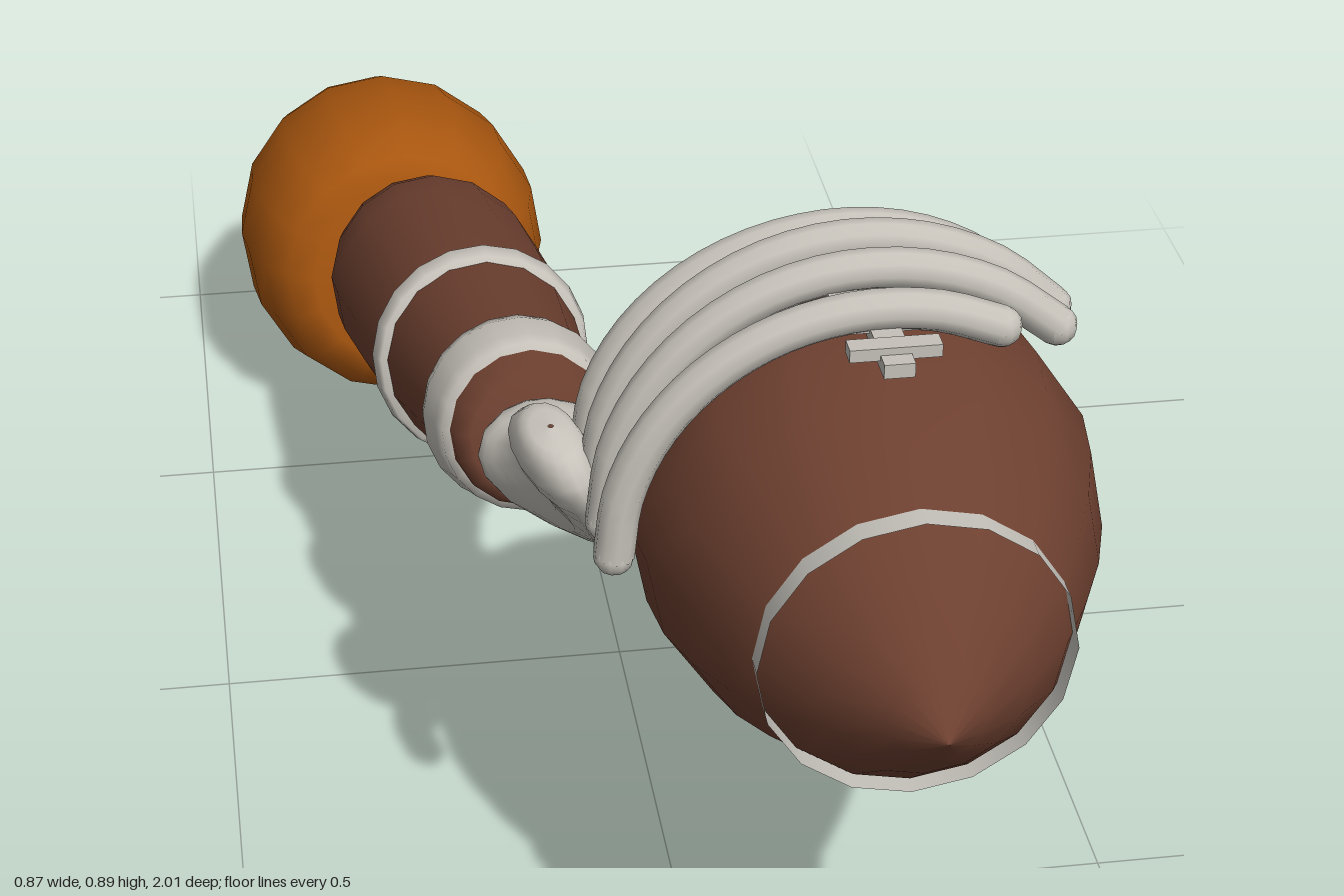
import * as THREE from 'three';

const V = (x, y, z) => new THREE.Vector3(x, y, z);
const UP = V(0, 1, 0);

export function createModel() {
  const group = new THREE.Group();
  const mat = (name, color) => {
    const m = new THREE.MeshStandardMaterial({ color });
    m.name = name;
    return m;
  };
  const brown = mat('leatherBrown', 0x6d4030);
  const orange = mat('sleeveOrange', 0xa8560f);
  const white = mat('gloveWhite', 0xc6c2ba);
  const tape = mat('bandWhite', 0xc5c2bb);
  tape.side = THREE.DoubleSide;

  const add = (name, geometry, material, parent = group) => {
    const mesh = new THREE.Mesh(geometry, material);
    mesh.name = name;
    parent.add(mesh);
    return mesh;
  };

  // Turned solid whose profile [radius, distance] runs along dir from origin
  const turned = (name, profile, origin, dir, material, sides = 16) => {
    const pts = profile.map(([r, d]) => new THREE.Vector2(r, d));
    const mesh = add(name, new THREE.LatheGeometry(pts, sides), material);
    mesh.position.copy(origin);
    mesh.quaternion.setFromUnitVectors(UP, dir.clone().normalize());
    return mesh;
  };

  // Ball, pointed at both ends along z
  const ball = V(0.18, 0.605, 0.582);
  const half = [[0, 0.418], [0.05, 0.376], [0.105, 0.325], [0.155, 0.268],
    [0.19, 0.205], [0.222, 0.135], [0.243, 0.068]];
  const ballProfile = [
    ...half.map(([r, d]) => [r, -d]),
    [0.252, 0],
    ...half.slice().reverse(),
  ];
  turned('ball', ballProfile, ball, V(0, 0, 1), brown);

  // Painted rings near the ball tips
  for (const side of [1, -1]) {
    const ring = add('ballStripe', new THREE.CylinderGeometry(0.164, 0.164, 0.03, 16, 1, true), tape);
    ring.rotation.x = Math.PI / 2;
    ring.position.set(ball.x, ball.y, ball.z + side * 0.264);
  }

  // Laces on top of the ball
  const laces = new THREE.Group();
  laces.name = 'laces';
  group.add(laces);
  add('laceSpine', new THREE.BoxGeometry(0.032, 0.016, 0.27), white, laces)
    .position.set(ball.x, 0.858, 0.585);
  for (let i = 0; i < 5; i++) {
    add('laceBar', new THREE.BoxGeometry(0.095, 0.014, 0.022), white, laces)
      .position.set(ball.x, 0.867, 0.47 + i * 0.055);
  }

  // Round-ended tube through points
  const digit = (name, points, r) => {
    const curve = new THREE.CatmullRomCurve3(points);
    const part = new THREE.Group();
    part.name = name;
    group.add(part);
    add(name + 'Tube', new THREE.TubeGeometry(curve, 24, r, 10), white, part);
    for (const p of [points[0], points[points.length - 1]]) {
      add(name + 'End', new THREE.SphereGeometry(r, 10, 8), white, part).position.copy(p);
    }
  };

  // Four fingers arching over the ball: z, arc radius, end angle
  const fingers = [[0.43, 0.258, 41], [0.5, 0.283, 41], [0.567, 0.285, 45], [0.632, 0.274, 63]];
  for (const [z, r, end] of fingers) {
    const pts = [];
    for (let i = 0; i <= 8; i++) {
      const a = THREE.MathUtils.degToRad(THREE.MathUtils.lerp(180, end, i / 8));
      // the near side stays level with the other knuckles
      const rx = Math.cos(a) < 0 ? 0.275 : r;
      pts.push(V(ball.x + rx * Math.cos(a), ball.y + r * Math.sin(a), z));
    }
    digit('finger', pts, 0.022);
  }

  // Thumb curling under the ball
  digit('thumb', [V(-0.07, 0.475, 0.28), V(-0.01, 0.425, 0.345),
    V(0.08, 0.365, 0.41), V(0.18, 0.338, 0.452)], 0.022);

  // Palm: ellipses [centre, half axis u, half axis v] twisting up to the knuckles
  const sections = [
    [V(-0.11, 0.49, 0.198), V(0.003, 0, 0), V(0, 0.003, 0)],
    [V(-0.11, 0.485, 0.21), V(0.07, -0.01, 0), V(0, 0.05, -0.01)],
    [V(-0.107, 0.478, 0.245), V(0.092, -0.015, 0), V(0, 0.064, -0.015)],
    [V(-0.1, 0.483, 0.295), V(0.076, -0.02, 0.01), V(-0.01, 0.062, -0.025)],
    [V(-0.107, 0.525, 0.36), V(0.046, -0.015, 0.02), V(-0.02, 0.055, -0.045)],
    [V(-0.125, 0.58, 0.425), V(0.042, -0.01, 0.025), V(-0.02, 0.04, -0.06)],
    [V(-0.138, 0.63, 0.47), V(0.044, 0, 0.02), V(-0.01, 0.02, -0.068)],
    [V(-0.142, 0.665, 0.48), V(0.03, 0, 0.012), V(0, 0.01, -0.045)],
    [V(-0.142, 0.673, 0.48), V(0.003, 0, 0), V(0, 0, -0.003)],
  ];
  const [cLine, uLine, vLine] = [0, 1, 2].map(
    (k) => new THREE.CatmullRomCurve3(sections.map((s) => s[k])));
  const rows = 24, cols = 16, pos = [], idx = [];
  for (let i = 0; i <= rows; i++) {
    const c = cLine.getPoint(i / rows), u = uLine.getPoint(i / rows), v = vLine.getPoint(i / rows);
    for (let j = 0; j < cols; j++) {
      const a = (j / cols) * Math.PI * 2;
      const p = c.clone().addScaledVector(u, Math.cos(a)).addScaledVector(v, Math.sin(a));
      pos.push(p.x, p.y, p.z);
      if (i === rows) continue;
      const a0 = i * cols + j, a1 = i * cols + (j + 1) % cols;
      idx.push(a0, a1, a1 + cols, a0, a1 + cols, a0 + cols);
    }
  }
  const palm = new THREE.BufferGeometry();
  palm.setAttribute('position', new THREE.Float32BufferAttribute(pos, 3));
  palm.setIndex(idx);
  palm.computeVertexNormals();
  add('palm', palm, white);

  // Arm from the elbow end up to the wrist
  const elbow = V(-0.192, 0.292, -0.575);
  const wrist = V(-0.127, 0.478, 0.187);
  const armDir = wrist.clone().sub(elbow);
  const len = armDir.length();
  turned('forearm', [[0, -0.02], [0.095, -0.015], [0.125, 0.015], [0.138, 0.07], [0.14, 0.14],
    [0.135, 0.3], [0.125, 0.45], [0.108, 0.6], [0.098, len - 0.06], [0.094, len - 0.02],
    [0.075, len], [0, len + 0.004]], elbow, armDir, brown);

  // Raised bands around the wrist and the middle of the arm
  const band = (name, from, to, r0, r1) => turned(name, [
    [r0 - 0.02, from], [r0 - 0.004, from + 0.004], [r0, from + (to - from) * 0.3],
    [r1, to - (to - from) * 0.3], [r1 - 0.004, to - 0.004], [r1 - 0.02, to],
  ], elbow, armDir, white, 20);
  band('wristBand', len - 0.125, len - 0.028, 0.116, 0.108);
  band('armBand', 0.425, 0.468, 0.138, 0.135);

  // Barrel-shaped sleeve at the shoulder
  turned('sleeve', [[0, -0.222], [0.09, -0.217], [0.145, -0.198], [0.182, -0.15], [0.203, -0.08],
    [0.211, 0], [0.208, 0.08], [0.192, 0.145], [0.165, 0.185], [0.13, 0.203], [0, 0.208]],
  V(-0.225, 0.234, -0.783), V(0.06, 0.17, 1), orange);

  return group;
}
